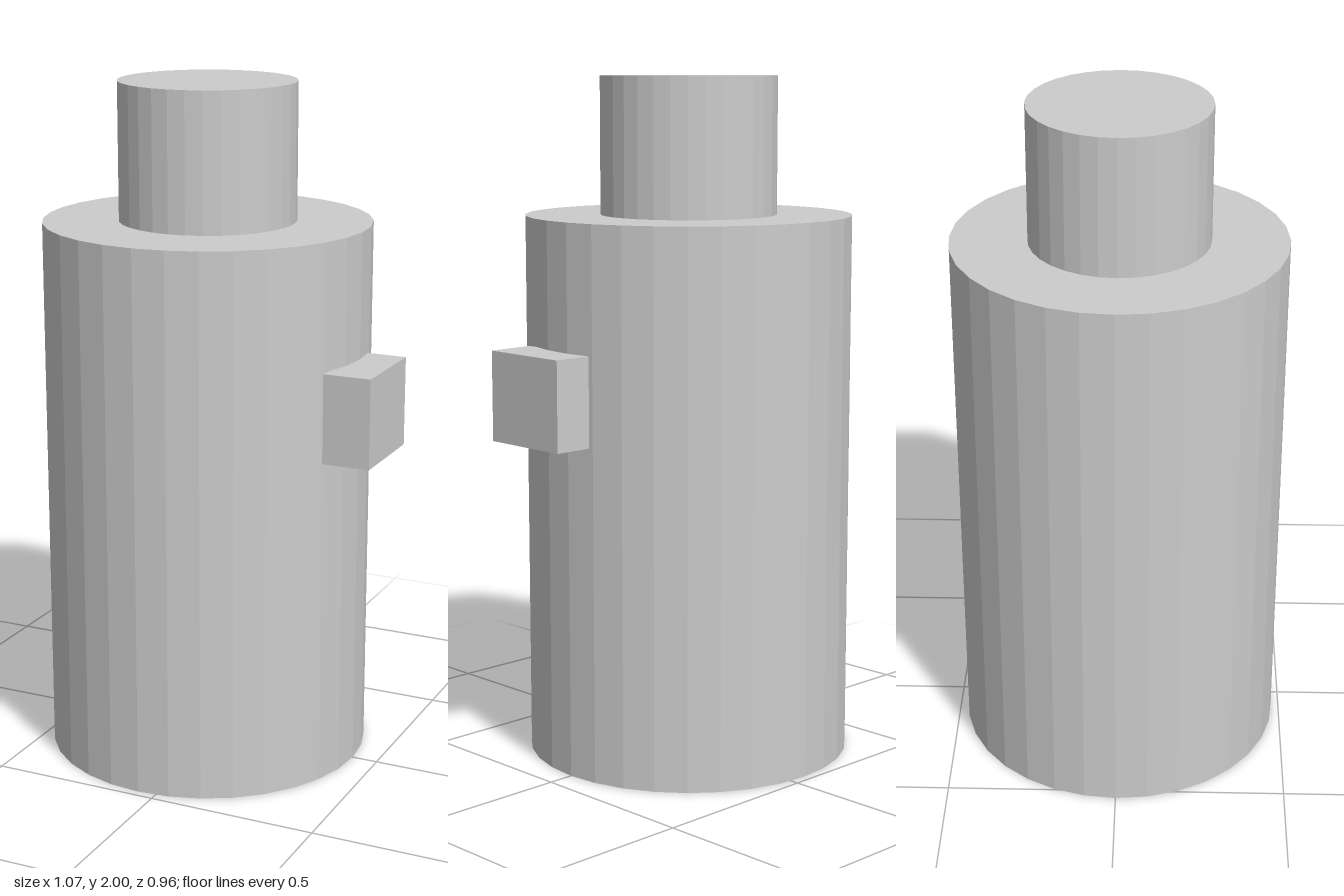
import * as THREE from 'three';

export function createModel() {
  const model = new THREE.Group();
  model.name = 'bottle';
  const grey = new THREE.MeshStandardMaterial({ color: 0xcccccc, flatShading: true });
  grey.name = 'light grey';

  const AXIS_X = -0.055; // the round parts share one axis, offset to balance the side block

  function add(name, geometry, x, y, z) {
    const mesh = new THREE.Mesh(geometry, grey);
    mesh.name = name;
    mesh.position.set(x, y, z);
    model.add(mesh);
  }

  // Faceted upright cylinder from y0 to y1
  function drum(name, radius, y0, y1) {
    add(name, new THREE.CylinderGeometry(radius, radius, y1 - y0, 32), AXIS_X, (y0 + y1) / 2, 0);
  }

  drum('body', 0.478, 0, 1.6);
  drum('neck', 0.258, 1.6, 2);

  // Block on the left side, set slightly forward and partly sunk into the body
  add('sideBlock', new THREE.BoxGeometry(0.14, 0.26, 0.278), 0.462, 1.104, 0.059);

  return model;
}
